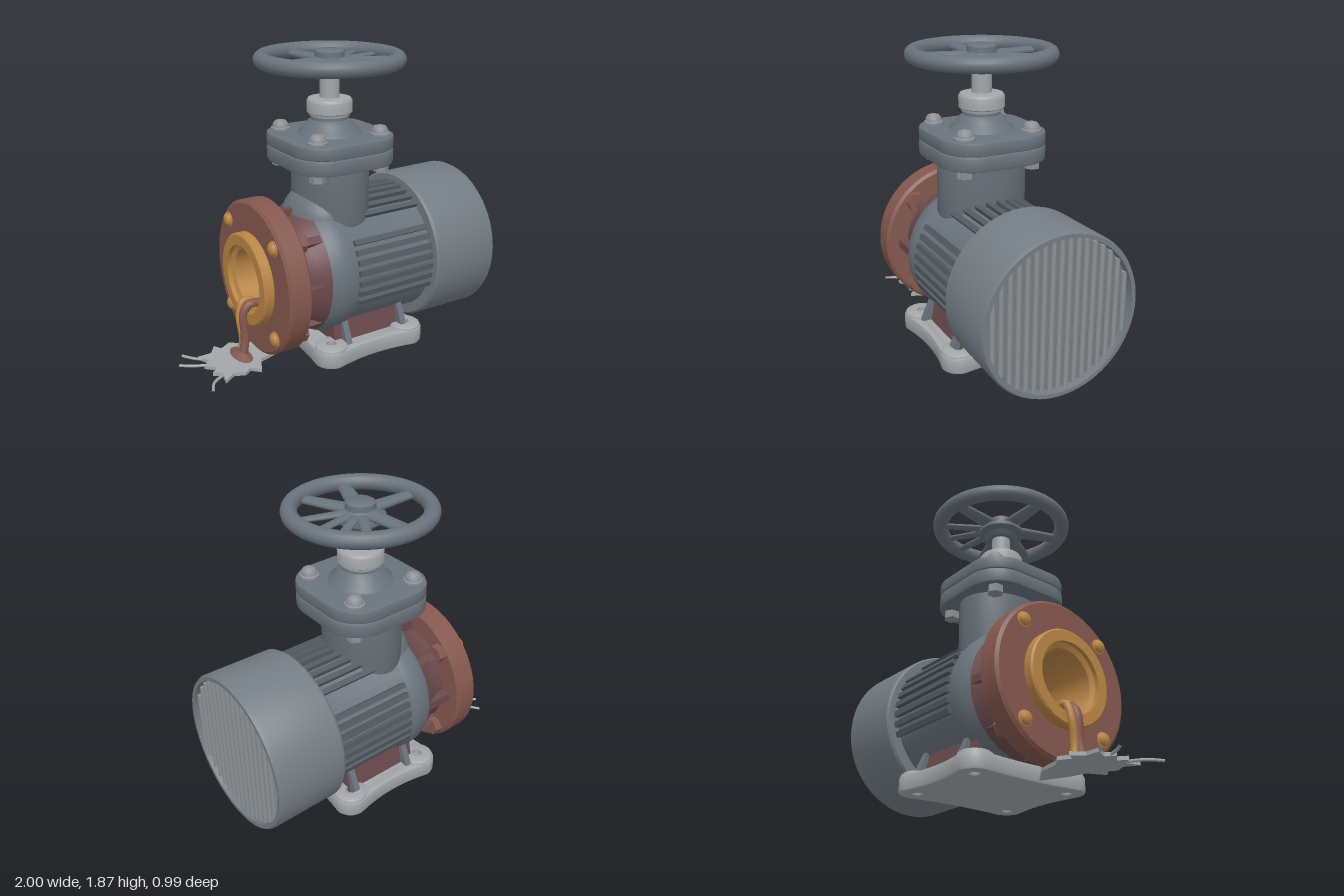
import * as THREE from 'three';
import { toCreasedNormals } from 'three/addons/utils/BufferGeometryUtils.js';

const AXIS_Y = 0.53;   // height of the motor axis
const STEM_X = 0.03;   // position of the valve stem
const paint = (color) => new THREE.MeshStandardMaterial({ color });
const STEEL = paint(0x69737b), DARK = paint(0x535c63), PALE = paint(0xa3a6a8), COVER = paint(0x747d84),
  RUST = paint(0x84584e), ORANGE = paint(0xb98545), GREY = paint(0x8c9195), RED = paint(0x6b4a4c);

function add(parent, name, geometry, material, x = 0, y = 0, z = 0) {
  const mesh = new THREE.Mesh(geometry, material);
  mesh.name = name;
  mesh.position.set(x, y, z);
  parent.add(mesh);
  return mesh;
}

// Turned profile of [radius, height] pairs
function turned(profile, segments = 56, crease = 0.6) {
  const points = profile.map(([r, h]) => new THREE.Vector2(r, h));
  return toCreasedNormals(new THREE.LatheGeometry(points, segments), crease);
}

// Turned profile whose heights run along x
const turnedX = (profile, segments) => turned(profile, segments).rotateZ(-Math.PI / 2);

// Outline in x and z, raised along y with softened edges
function slab(shape, height, bevel) {
  const geometry = new THREE.ExtrudeGeometry(shape, {
    depth: height - 2 * bevel, bevelEnabled: bevel > 0, bevelSize: bevel, bevelThickness: bevel,
    bevelOffset: -bevel, bevelSegments: 2, curveSegments: 10,
  });
  return toCreasedNormals(geometry.rotateX(-Math.PI / 2).translate(0, bevel, 0), 0.6);
}

function roundedSquare(h, r) {
  const s = new THREE.Shape();
  s.absarc(h - r, h - r, r, 0, Math.PI / 2);
  s.absarc(r - h, h - r, r, Math.PI / 2, Math.PI);
  s.absarc(r - h, r - h, r, Math.PI, Math.PI * 1.5);
  s.absarc(h - r, r - h, r, Math.PI * 1.5, Math.PI * 2);
  return s;
}

const domeBolt = () => turned([[0.06, 0], [0.06, 0.02], [0.05, 0.025], [0.048, 0.045], [0.034, 0.062], [0, 0.07]], 16, 0.7);
const hexNut = (r, h) => toCreasedNormals(new THREE.CylinderGeometry(r, r, h, 6), 0.4);

function buildMotor() {
  const motor = new THREE.Group();
  motor.name = 'motor';
  motor.position.y = AXIS_Y;

  // Swollen pump casing running into the motor barrel
  add(motor, 'casingCollar', turnedX([[0.34, -0.4], [0.34, -0.33], [0.365, -0.27], [0.405, -0.2]], 64), RED);
  add(motor, 'casing', turnedX([[0.405, -0.2], [0.428, -0.15], [0.434, -0.1], [0.43, -0.05], [0.415, -0.01], [0.415, 0.56]], 64), STEEL);

  // Banks of cooling fins on both sides and along the top
  const fins = new THREE.Group();
  fins.name = 'coolingFins';
  for (const [centre, count] of [[8, 7], [172, 7], [90, 9]]) for (let i = 0; i < count; i++) {
    const a = THREE.MathUtils.degToRad(centre + (i - (count - 1) / 2) * 8.5);
    const fin = add(fins, 'coolingFin', new THREE.BoxGeometry(0.57, 0.07, 0.034), DARK,
      0.265, Math.sin(a) * 0.408, Math.cos(a) * 0.408);
    fin.rotation.x = Math.PI / 2 - a;
  }
  motor.add(fins);

  // Fan cover with a recessed end
  add(motor, 'fanCover', turnedX([[0.3, 0.53], [0.478, 0.53], [0.49, 0.545], [0.495, 0.975], [0.485, 0.995],
    [0.46, 0.995], [0.454, 0.95], [0, 0.95]], 72), COVER);
  for (let i = -8; i <= 8; i++) {
    const z = i * 0.052;
    const length = 2 * Math.sqrt(0.454 ** 2 - z * z);
    add(motor, 'grilleBar', new THREE.CylinderGeometry(0.016, 0.016, length, 8), GREY, 0.965, 0, z);
  }

  // Webs between the flange and the casing
  for (let i = 0; i < 8; i++) {
    const a = (i / 8) * Math.PI * 2;
    const web = add(motor, 'web', new THREE.BoxGeometry(0.2, 0.08, 0.05), RED,
      -0.3, Math.sin(a) * 0.36, Math.cos(a) * 0.36);
    web.rotation.x = Math.PI / 2 - a;
  }
  return motor;
}

function buildInlet() {
  const inlet = new THREE.Group();
  inlet.name = 'inlet';
  inlet.position.y = AXIS_Y;
  add(inlet, 'inletFlange', turnedX([[0.25, -0.53], [0.465, -0.53], [0.484, -0.515], [0.484, -0.395],
    [0.465, -0.38], [0.3, -0.38]], 64), RUST);
  add(inlet, 'inletBore', turnedX([[0, -0.2], [0.185, -0.2], [0.185, -0.55], [0.215, -0.565], [0.215, -0.592],
    [0.28, -0.592], [0.29, -0.582], [0.29, -0.52]], 56), ORANGE);
  // Bolts through the flange, with nuts behind
  for (let i = 0; i < 4; i++) {
    const a = Math.PI / 4 + (i * Math.PI) / 2;
    const y = Math.sin(a) * 0.41, z = Math.cos(a) * 0.41;
    add(inlet, 'flangeBolt', domeBolt().scale(0.8, 0.55, 0.8).rotateZ(Math.PI / 2), ORANGE, -0.525, y, z);
    add(inlet, 'flangeNut', hexNut(0.06, 0.06).rotateZ(Math.PI / 2), RUST, -0.36, y, z);
  }
  return inlet;
}

function buildValve() {
  const valve = new THREE.Group();
  valve.name = 'valve';
  valve.position.x = STEM_X;

  // Oval neck
  add(valve, 'neck', turned([[0.16, 0.72], [0.205, 0.78], [0.225, 0.86], [0.225, 1.21]], 48).scale(1, 1, 1.26), STEEL);
  // Shoulder blending the neck into the casing on the inlet side
  add(valve, 'neckShoulder', new THREE.SphereGeometry(1, 32, 20).scale(0.2, 0.2, 0.25), STEEL, -0.1, 0.85);

  // Paired flanges with broad corners and their bolts
  add(valve, 'lowerPlate', slab(roundedSquare(0.34, 0.21), 0.095, 0.015), STEEL, 0, 1.195);
  add(valve, 'gasket', slab(roundedSquare(0.325, 0.2), 0.02, 0), DARK, 0, 1.28);
  add(valve, 'upperPlate', slab(roundedSquare(0.34, 0.21), 0.085, 0.015), STEEL, 0, 1.288);
  for (const sx of [-1, 1]) for (const sz of [-1, 1]) {
    add(valve, 'plateBolt', domeBolt(), GREY, sx * 0.22, 1.365, sz * 0.22);
    add(valve, 'plateNut', hexNut(0.05, 0.055), GREY, sx * 0.225, 1.174, sz * 0.225);
  }

  // Bonnet, gland and stem
  add(valve, 'bonnet', turned([[0.2, 1.365], [0.19, 1.385], [0.165, 1.4], [0.145, 1.435], [0.115, 1.46], [0.112, 1.5]], 40), STEEL);
  add(valve, 'gland', turned([[0.09, 1.475], [0.125, 1.48], [0.128, 1.495], [0.14, 1.502], [0.14, 1.57],
    [0.13, 1.585], [0.1, 1.59], [0, 1.59]], 36), PALE);
  add(valve, 'stem', new THREE.CylinderGeometry(0.061, 0.061, 0.2, 28), PALE, 0, 1.66);

  // Handwheel with uneven spokes
  const wheel = new THREE.Group();
  wheel.name = 'handwheel';
  wheel.position.y = 1.82;
  valve.add(wheel);
  add(wheel, 'wheelRim', new THREE.TorusGeometry(0.408, 0.049, 16, 72).rotateX(Math.PI / 2), STEEL);
  add(wheel, 'wheelHub', turned([[0, -0.1], [0.09, -0.1], [0.11, -0.07], [0.148, -0.055], [0.148, -0.03], [0.12, -0.015],
    [0.09, 0.01], [0.088, 0.045], [0.07, 0.056], [0, 0.056]], 36), STEEL);
  const spokes = [[180, 0.05], [113, 0.05], [65, 0.05], [18, 0.032], [-10, 0.03], [-34, 0.03], [-58, 0.032], [-97, 0.05]];
  for (const [deg, r] of spokes) {
    const geometry = new THREE.CylinderGeometry(r * 0.85, r * 1.15, 0.33, 12).translate(0, 0.225, 0)
      .rotateZ(-Math.PI / 2).scale(1, 0.5, 1);
    const spoke = add(wheel, 'wheelSpoke', geometry, STEEL, 0, -0.012, 0);
    spoke.rotation.y = -THREE.MathUtils.degToRad(deg);
  }
  return valve;
}

function buildFoot() {
  const foot = new THREE.Group();
  foot.name = 'foot';
  foot.position.x = 0.11;

  // Base plate with lobed corners and slightly hollow sides
  const hx = 0.39, hz = 0.45, r = 0.11;
  const s = new THREE.Shape();
  s.absarc(hx - r, hz - r, r, 0, Math.PI * 0.55);
  s.quadraticCurveTo(0, hz - 0.07, r - hx, hz);
  s.absarc(r - hx, hz - r, r, Math.PI * 0.5, Math.PI);
  s.quadraticCurveTo(-hx + 0.05, 0, -hx, r - hz);
  s.absarc(r - hx, r - hz, r, Math.PI, Math.PI * 1.5);
  s.quadraticCurveTo(0, 0.07 - hz, hx - r, -hz);
  s.absarc(hx - r, r - hz, r, Math.PI * 1.5, Math.PI * 2);
  s.quadraticCurveTo(hx - 0.05, 0, hx, hz - r);
  const corners = [[1, 1], [1, -1], [-1, 1], [-1, -1]].map(([sx, sz]) => [sx * (hx - r), sz * (hz - r)]);
  for (const [x, z] of corners) s.holes.push(new THREE.Path().absarc(x, z, 0.03, 0, Math.PI * 2, true));
  add(foot, 'basePlate', slab(s, 0.105, 0.015), PALE, 0, 0.008);

  // Raised bolt pads on the corners
  for (const [x, z] of corners) {
    add(foot, 'cornerPad', turned([[0.032, 0.09], [0.108, 0.09], [0.1, 0.122], [0.085, 0.132], [0.032, 0.132], [0.032, 0.09]], 28), PALE, x, 0, z);
  }

  // Flared pedestal and end gussets
  const flare = (w, top, depth) => {
    const t = new THREE.Shape([[-w, 0], [w, 0], [top, 0.24], [-top, 0.24]].map((p) => new THREE.Vector2(...p)));
    return new THREE.ExtrudeGeometry(t, { depth, bevelEnabled: false }).translate(0, 0, -depth / 2).rotateY(Math.PI / 2);
  };
  add(foot, 'pedestal', flare(0.33, 0.28, 0.52), RED, 0.02, 0.1);
  for (const x of [-0.17, 0.25]) add(foot, 'gusset', flare(0.39, 0.28, 0.04), STEEL, x, 0.1);
  return foot;
}

function buildSpill() {
  const spill = new THREE.Group();
  spill.name = 'spill';

  // Ragged puddle
  const outline = [[-0.28, 0.03], [-0.44, 0.1], [-0.55, 0.13], [-0.6, 0.24], [-0.65, 0.19], [-0.7, 0.22], [-0.76, 0.19],
    [-0.84, 0.24], [-0.82, 0.15], [-0.87, 0.12], [-0.82, 0.08], [-0.88, 0.02], [-0.83, -0.02], [-0.87, -0.1],
    [-0.78, -0.1], [-0.73, -0.17], [-0.7, -0.12], [-0.63, -0.16], [-0.56, -0.11], [-0.42, -0.08]];
  const shape = new THREE.Shape(outline.map(([x, z]) => new THREE.Vector2(x, -z)));
  add(spill, 'puddle', slab(shape, 0.022, 0), PALE, 0, 0.014);

  const strand = (name, points, radius, material) => {
    const curve = new THREE.CatmullRomCurve3(points.map((p) => new THREE.Vector3(...p)));
    add(spill, name, new THREE.TubeGeometry(curve, 20, radius, 8), material);
  };
  // Thin splashes reaching outward
  strand('splash', [[-0.82, 0.025, -0.05], [-0.89, 0.025, -0.11], [-0.94, 0.025, -0.18]], 0.009, PALE);
  strand('splash', [[-0.82, 0.025, 0.02], [-0.93, 0.025, -0.03], [-1, 0.025, -0.08]], 0.009, PALE);
  strand('splash', [[-0.8, 0.025, 0.15], [-0.9, 0.025, 0.21], [-0.95, 0.025, 0.3]], 0.009, PALE);
  // Liquid running from the bore and pooling at its foot
  strand('drip', [[-0.45, 0.36, 0.02], [-0.57, 0.365, 0.02], [-0.605, 0.31, 0.02], [-0.605, 0.15, 0.03], [-0.63, 0.02, 0.04]], 0.028, RUST);
  strand('drip', [[-0.5, 0.36, -0.04], [-0.58, 0.37, -0.04], [-0.612, 0.28, -0.03], [-0.605, 0.14, -0.01], [-0.61, 0.02, -0.02]], 0.022, ORANGE);
  add(spill, 'dripPool', turned([[0.12, 0.03], [0.07, 0.042], [0.03, 0.07], [0, 0.08]], 24, 1).scale(0.6, 1, 1.2), RUST, -0.63, 0, 0.02);
  return spill;
}

export function createModel() {
  const model = new THREE.Group();
  model.name = 'motorPump';
  model.add(buildMotor(), buildInlet(), buildValve(), buildFoot(), buildSpill());
  return model;
}
